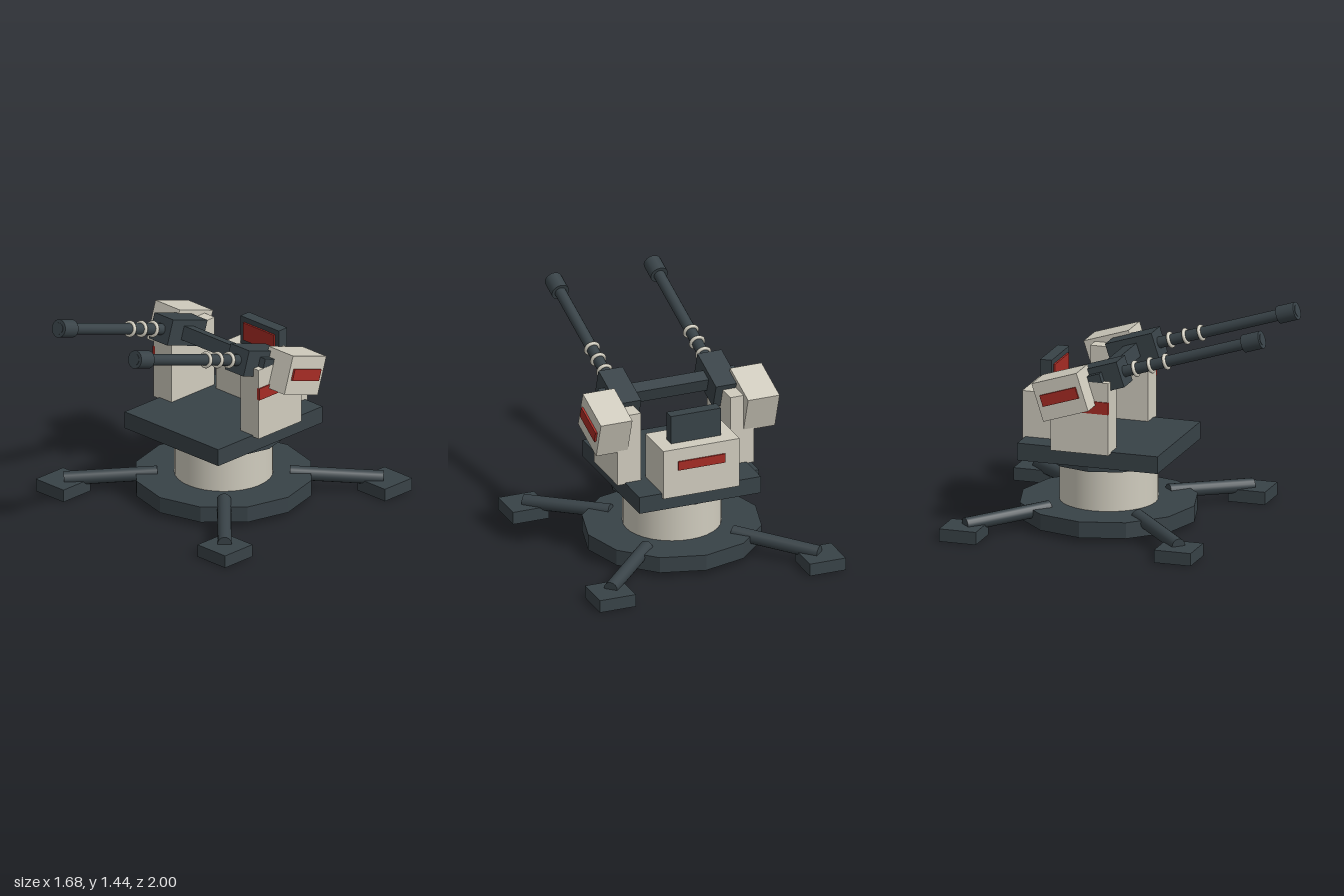
import * as THREE from 'three';

const DARK = new THREE.MeshStandardMaterial({ color: 0x384247 });
const DARK_FLAT = new THREE.MeshStandardMaterial({ color: 0x384247, flatShading: true });
const LIGHT = new THREE.MeshStandardMaterial({ color: 0xd0ccbe });
const RED = new THREE.MeshStandardMaterial({ color: 0xa62b24 });

const TILT = Math.PI / 10; // elevation of the guns and pods
const CZ = -0.157;         // centre of the base along z

function add(parent, name, geometry, material, x = 0, y = 0, z = 0) {
  const mesh = new THREE.Mesh(geometry, material);
  mesh.name = name;
  mesh.position.set(x, y, z);
  parent.add(mesh);
  return mesh;
}

// Box given by its minimum and maximum corners
function block(parent, name, material, [x0, y0, z0], [x1, y1, z1]) {
  const geometry = new THREE.BoxGeometry(x1 - x0, y1 - y0, z1 - z0);
  return add(parent, name, geometry, material, (x0 + x1) / 2, (y0 + y1) / 2, (z0 + z1) / 2);
}

// Cylinder running between two points
function rod(parent, name, material, a, b, radius, sides = 16) {
  const dir = b.clone().sub(a);
  const mesh = add(parent, name, new THREE.CylinderGeometry(radius, radius, dir.length(), sides), material);
  mesh.position.copy(a).add(b).multiplyScalar(0.5);
  mesh.quaternion.setFromUnitVectors(new THREE.Vector3(0, 1, 0), dir.normalize());
  return mesh;
}

// Group pitched upwards around a pivot
function tilted(parent, name, x, y, z) {
  const group = new THREE.Group();
  group.name = name;
  group.position.set(x, y, z);
  group.rotation.x = -TILT;
  parent.add(group);
  return group;
}

export function createModel() {
  const model = new THREE.Group();
  model.name = 'gunTurret';

  // Base, column and turntable
  add(model, 'basePlate', new THREE.CylinderGeometry(0.572, 0.572, 0.105, 12), DARK_FLAT, 0, 0.083, CZ);
  add(model, 'column', new THREE.CylinderGeometry(0.313, 0.313, 0.3, 32), LIGHT, 0, 0.28, CZ);
  add(model, 'turntable', new THREE.CylinderGeometry(0.405, 0.405, 0.04, 12), DARK_FLAT, 0, 0.438, CZ);
  block(model, 'platform', DARK, [-0.415, 0.452, -0.625], [0.415, 0.565, 0.312]);

  // Four splayed legs with square feet
  for (const sx of [-1, 1]) {
    for (const sz of [-1, 1]) {
      rod(model, 'leg', DARK,
        new THREE.Vector3(sx * 0.295, 0.125, CZ + sz * 0.295),
        new THREE.Vector3(sx * 0.713, 0.088, CZ + sz * 0.713), 0.045);
      add(model, 'foot', new THREE.BoxGeometry(0.245, 0.083, 0.245), DARK,
        sx * 0.7175, 0.0415, -0.16 + sz * 0.7175);
    }
  }

  // Rear housing with its stripe, and the screen above it
  block(model, 'rearHousing', LIGHT, [-0.26, 0.535, -0.645], [0.26, 0.866, -0.35]);
  block(model, 'rearStripe', RED, [-0.16, 0.72, -0.655], [0.16, 0.78, -0.64]);
  block(model, 'screen', DARK, [-0.17, 0.86, -0.556], [0.17, 1.055, -0.48]);
  block(model, 'screenPanel', RED, [-0.135, 0.9, -0.49], [0.135, 1.02, -0.468]);

  // Elevating cradle: crossbeam and two guns share one pivot
  const cradle = tilted(model, 'gunCradle', 0, 1.033, -0.09);
  add(cradle, 'crossbeam', new THREE.BoxGeometry(0.93, 0.09, 0.09), DARK);

  for (const s of [-1, 1]) {
    // Upright support with a band on its outer side
    add(model, 'support', new THREE.BoxGeometry(0.16, 0.475, 0.387), LIGHT, s * 0.386, 0.793, -0.193);
    add(model, 'supportBand', new THREE.BoxGeometry(0.02, 0.08, 0.3), RED, s * 0.464, 0.865, -0.149);

    // Side pod
    const pod = tilted(model, 'sidePod', s * 0.503, 0.954, -0.273);
    add(pod, 'podBody', new THREE.BoxGeometry(0.215, 0.255, 0.315), LIGHT);
    add(pod, 'podPanel', new THREE.BoxGeometry(0.02, 0.075, 0.25), RED, s * 0.111, 0.006, 0);

    // Gun: receiver, barrel, cooling rings and muzzle
    const gun = new THREE.Group();
    gun.name = 'gun';
    gun.position.x = s * 0.338;
    cradle.add(gun);
    add(gun, 'receiver', new THREE.BoxGeometry(0.165, 0.17, 0.325), DARK);
    const along = (z) => new THREE.Vector3(0, 0, z);
    rod(gun, 'barrel', DARK, along(0.1), along(1.131), 0.037);
    rod(gun, 'muzzle', DARK, along(1.004), along(1.128), 0.058);
    for (const z of [0.242, 0.35, 0.457]) {
      add(gun, 'coolingRing', new THREE.TorusGeometry(0.042, 0.012, 8, 24), LIGHT, 0, 0, z);
    }
  }
  return model;
}
